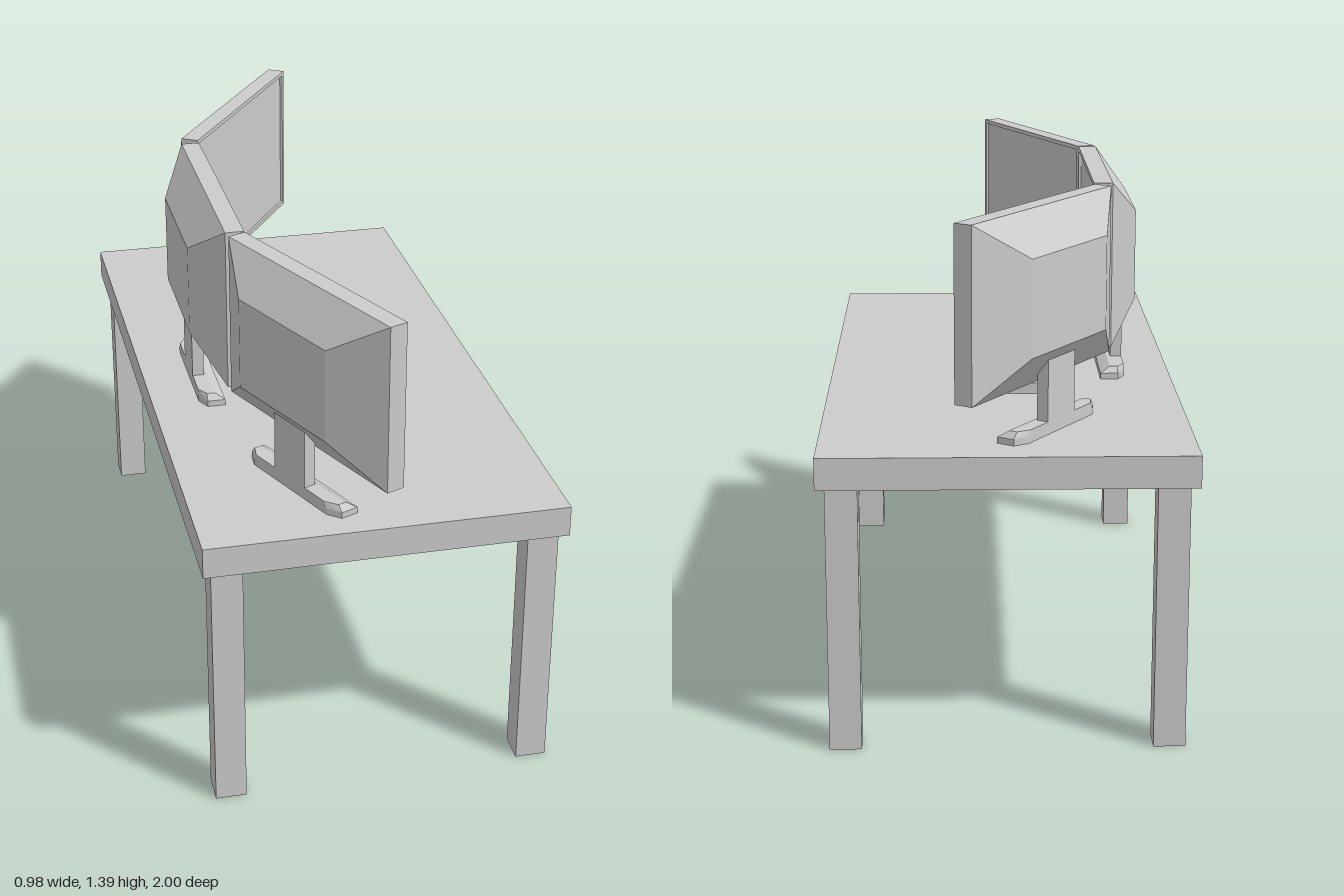
import * as THREE from 'three';
import { ConvexGeometry } from 'three/addons/geometries/ConvexGeometry.js';

const material = new THREE.MeshStandardMaterial({ color: 0xcccccc, flatShading: true });

function add(parent, name, geometry, x = 0, y = 0, z = 0) {
  const mesh = new THREE.Mesh(geometry, material);
  mesh.name = name;
  mesh.position.set(x, y, z);
  parent.add(mesh);
  return mesh;
}

// Box given by its minimum and maximum corners
function box(parent, name, [x0, y0, z0], [x1, y1, z1]) {
  return add(parent, name, new THREE.BoxGeometry(x1 - x0, y1 - y0, z1 - z0),
    (x0 + x1) / 2, (y0 + y1) / 2, (z0 + z1) / 2);
}

// Convex solid from half of its points, mirrored across x = 0
function mirroredHull(points) {
  return new ConvexGeometry(points.flatMap(([x, y, z]) =>
    [new THREE.Vector3(x, y, z), new THREE.Vector3(-x, y, z)]));
}

function rectangle(Type, w, y0, y1) {
  const r = new Type();
  r.moveTo(-w, y0);
  r.lineTo(w, y0);
  r.lineTo(w, y1);
  r.lineTo(-w, y1);
  r.closePath();
  return r;
}

const DESK_TOP = 0.8;

// Monitor faces local +z, its front plane is z = 0 and it stands on y = 0
function createMonitor(name) {
  const monitor = new THREE.Group();
  monitor.name = name;

  // Frame around the recessed screen
  const frame = rectangle(THREE.Shape, 0.35, 0.13, 0.59);
  frame.holes.push(rectangle(THREE.Path, 0.338, 0.142, 0.578));
  add(monitor, 'screenFrame',
    new THREE.ExtrudeGeometry(frame, { depth: 0.052, bevelEnabled: false }), 0, 0, -0.052);
  box(monitor, 'screen', [-0.338, 0.142, -0.052], [0.338, 0.578, -0.008]);

  // Tapered back housing
  add(monitor, 'backHousing', mirroredHull([
    [0.35, 0.13, -0.052], [0.35, 0.59, -0.052],
    [0.19, 0.232, -0.13], [0.19, 0.487, -0.13],
  ]));

  // Stand: upright neck and a wide foot with a sloped front and cut back corners
  box(monitor, 'neck', [-0.068, 0, -0.105], [0.068, 0.24, -0.072]);
  add(monitor, 'foot', mirroredHull([
    [0.165, 0, -0.105], [0.205, 0, -0.085], [0.205, 0, -0.035],
    [0.165, 0.017, -0.105], [0.205, 0.017, -0.085], [0.205, 0.017, -0.035],
    [0.155, 0.034, -0.105], [0.19, 0.034, -0.085], [0.19, 0.034, -0.062],
  ]));
  return monitor;
}

function createKeyboard() {
  const keyboard = new THREE.Group();
  keyboard.name = 'keyboard';
  box(keyboard, 'keyboardBase', [-0.12, DESK_TOP, -0.243], [0.027, 0.81, 0.192]);
  const rows = 5, columns = 13;
  const pitchX = 0.139 / rows, pitchZ = 0.427 / columns;
  const key = new THREE.BoxGeometry(pitchX - 0.006, 0.007, pitchZ - 0.006);
  for (let r = 0; r < rows; r++) {
    for (let c = 0; c < columns; c++) {
      add(keyboard, 'key', key, -0.116 + (r + 0.5) * pitchX, 0.8125, -0.239 + (c + 0.5) * pitchZ);
    }
  }
  return keyboard;
}

// Mouse: bevelled bar profile extruded across its width
function createMouse() {
  const profile = new THREE.Shape([
    [-0.12, 0], [0.027, 0], [0.027, 0.018], [0.014, 0.03], [-0.107, 0.03], [-0.12, 0.018],
  ].map(([x, y]) => new THREE.Vector2(x, y)));
  return new THREE.ExtrudeGeometry(profile, { depth: 0.055, bevelEnabled: false });
}

export function createModel() {
  const model = new THREE.Group();
  model.name = 'desk with three monitors';

  // Table
  box(model, 'tableTop', [-0.488, 0.715, -1], [0.488, DESK_TOP, 0.952]);
  for (const x of [-0.423, 0.423]) {
    for (const z of [-0.935, 0.889]) {
      box(model, 'tableLeg', [x - 0.042, 0, z - 0.041], [x + 0.042, 0.72, z + 0.041]);
    }
  }

  // Monitors: name, front centre x and z, turn away from facing +x
  for (const [name, x, z, turn] of [
    ['centreMonitor', -0.25, -0.022, 0],
    ['rearMonitor', -0.058, -0.683, -0.582],
    ['frontMonitor', -0.112, 0.655, 0.406],
  ]) {
    const monitor = createMonitor(name);
    monitor.position.set(x, DESK_TOP, z);
    monitor.rotation.y = Math.PI / 2 + turn;
    model.add(monitor);
  }

  model.add(createKeyboard());
  add(model, 'mouse', createMouse(), 0, DESK_TOP, -0.383);
  return model;
}
